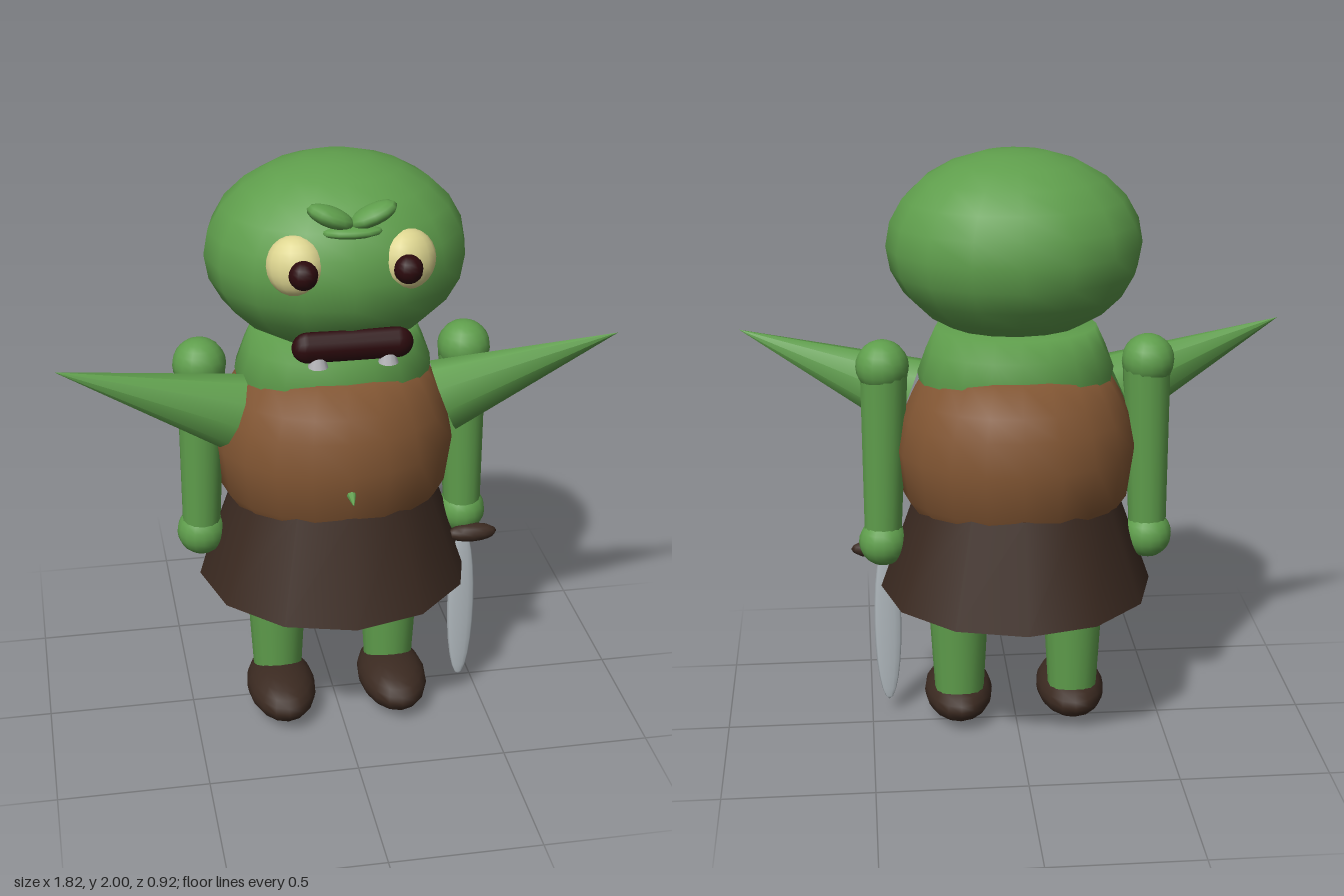
import * as THREE from 'three';

const mat = (name, color, side = THREE.FrontSide) => {
  const m = new THREE.MeshStandardMaterial({ color, side });
  m.name = name;
  return m;
};

export function createModel() {
  const root = new THREE.Group();
  root.name = 'creature';
  const skin = mat('greenSkin', 0x5f9e4c, THREE.DoubleSide);
  const tunic = mat('brownTunic', 0x825633, THREE.DoubleSide);
  const leather = mat('darkLeather', 0x3b2a21);
  const cream = mat('eyeCream', 0xddd590);
  const maroon = mat('darkMaroon', 0x2c0a0d);
  const steel = mat('steel', 0xb0b8bd);
  const tooth = mat('tooth', 0xb4b4b8);

  const add = (name, geo, material, x, y, z) => {
    const m = new THREE.Mesh(geo, material);
    m.name = name;
    m.position.set(x, y, z);
    root.add(m);
    return m;
  };
  const ball = (name, material, [x, y, z], [rx, ry, rz], w = 16, h = 12) =>
    add(name, new THREE.SphereGeometry(1, w, h).scale(rx, ry, rz), material, x, y, z);
  const lathe = (name, material, pts, sx) =>
    add(name, new THREE.LatheGeometry(pts.map(p => new THREE.Vector2(...p)), 20).scale(sx, 1, 1), material, 0, 0, 0);
  // Tapered limb running from a to b
  const limb = (name, material, a, b, ra, rb, sides, flat = 1) => {
    const p = new THREE.Vector3(...a), q = new THREE.Vector3(...b);
    const d = q.clone().sub(p);
    const mid = p.add(q).multiplyScalar(0.5);
    const m = add(name, new THREE.CylinderGeometry(rb, ra, d.length(), sides).scale(1, 1, flat), material, mid.x, mid.y, mid.z);
    m.quaternion.setFromUnitVectors(new THREE.Vector3(0, 1, 0), d.normalize());
    return m;
  };

  // Head and body
  ball('head', skin, [0, 1.69, 0.045], [0.42, 0.31, 0.365], 16, 12);
  lathe('neck', skin, [[0.23, 1.1], [0.258, 1.28], [0.235, 1.36], [0.21, 1.43], [0, 1.43]], 1.26);
  lathe('tunic', tunic, [[0, 0.68], [0.25, 0.72], [0.335, 0.86], [0.355, 1.02], [0.335, 1.13],
    [0.308, 1.2], [0.256, 1.3], [0, 1.32]], 1.13);
  add('skirt', new THREE.CylinderGeometry(0.337, 0.46, 0.345, 12), leather, 0, 0.6925, 0);
  limb('navel', skin, [0, 0.96, 0.33], [0, 0.94, 0.385], 0.02, 0.002, 8);

  // Mouth
  const mouth = add('mouth', new THREE.CapsuleGeometry(0.05, 0.28, 6, 12), maroon, 0, 1.483, 0.353);
  mouth.rotation.z = Math.PI / 2;
  mouth.scale.z = 0.78;
  // Lower brow crease
  ball('browCrease', skin, [0, 1.845, 0.335], [0.097, 0.02, 0.045], 12, 8);

  for (const s of [-1, 1]) {
    // Face
    const eye = ball('eye', cream, [s * 0.175, 1.747, 0.335], [0.09, 0.093, 0.065]);
    eye.rotation.set(-0.2, s * 0.35, 0);
    ball('pupil', maroon, [s * 0.16, 1.74, 0.405], [0.045, 0.045, 0.045], 12, 10);
    const brow = ball('brow', skin, [s * 0.065, 1.893, 0.33], [0.078, 0.031, 0.05], 12, 8);
    brow.rotation.z = s * 0.4;
    add('fang', new THREE.CylinderGeometry(0.018, 0.032, 0.045, 10), tooth, s * 0.11, 1.445, 0.365);

    // Pointed side spike
    limb('spike', skin, [s * 0.35, 1.17, 0.1], [s * 0.91, 1.385, 0.18], 0.13, 0, 10, 0.78);

    // Arms
    ball('shoulder', skin, [s * 0.44, 1.3, 0], [0.088, 0.088, 0.088]);
    limb('arm', skin, [s * 0.45, 0.7, 0], [s * 0.435, 1.3, 0], 0.063, 0.08, 14);
    ball('hand', skin, [s * 0.45, 0.685, -0.005], [0.082, 0.082, 0.082]);

    // Legs
    limb('leg', skin, [s * 0.197, 0.1, 0], [s * 0.197, 0.62, 0], 0.083, 0.113, 16);
    ball('boot', leather, [s * 0.197, 0.088, 0.073], [0.118, 0.083, 0.205]);
  }

  // Knife in the left hand
  ball('knifeGuard', leather, [0.472, 0.628, 0.073], [0.087, 0.032, 0.034], 12, 8);
  ball('knifeBlade', steel, [0.44, 0.35, 0.073], [0.047, 0.294, 0.012], 12, 12);

  return root;
}
